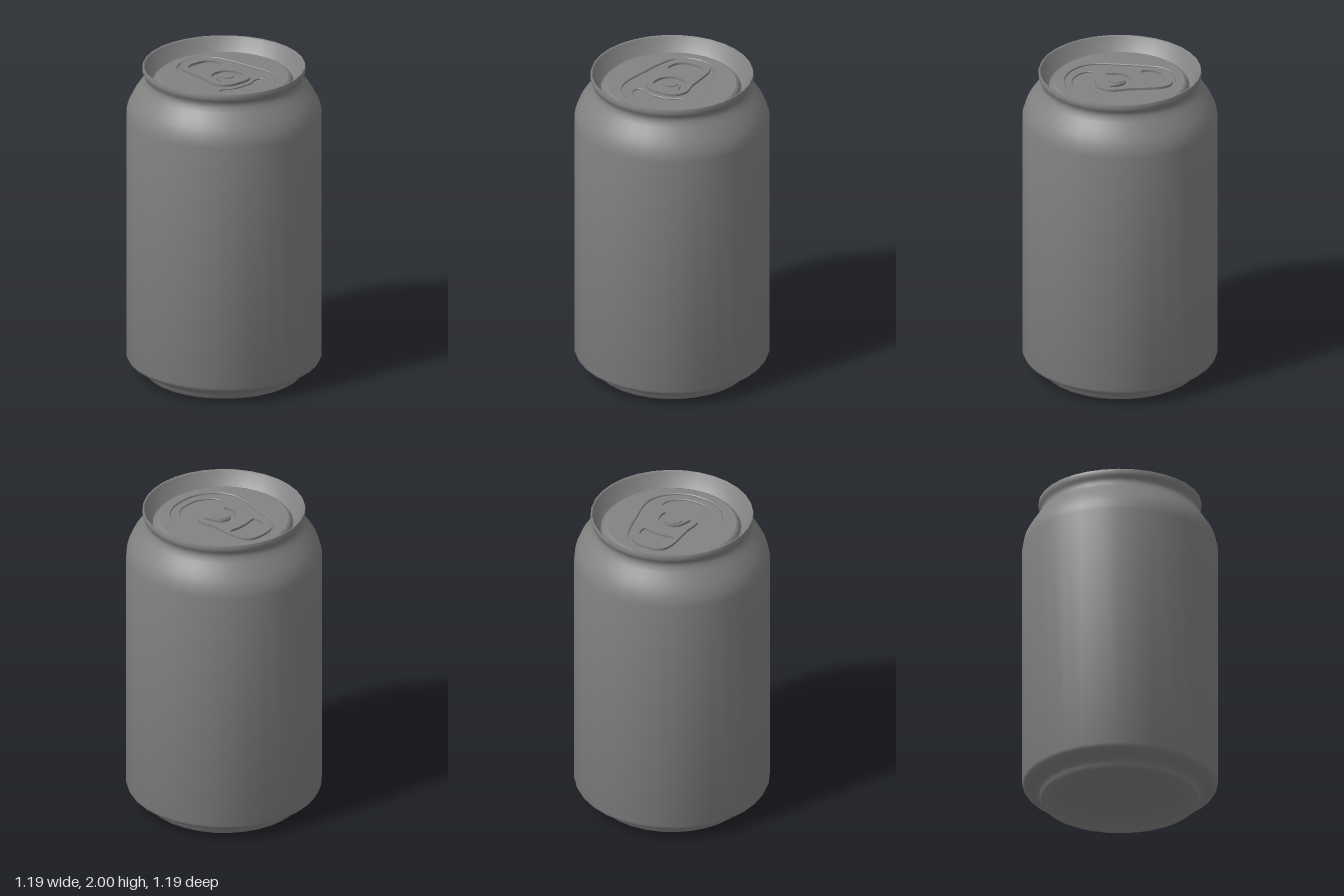
import * as THREE from 'three';
import { toCreasedNormals } from 'three/addons/utils/BufferGeometryUtils.js';

const SIDES = 32;
const material = new THREE.MeshStandardMaterial({ color: 0x828282 });

// Closed smooth outline, symmetric in x. Points run from one end of the
// centre line to the other along the +x side; both ends lie on x = 0.
function symmetricOutline(half, divisions = 64) {
  const mirrored = half.slice(1, -1).reverse().map(([x, z]) => [-x, z]);
  const pts = [...half, ...mirrored].map(([x, z]) => new THREE.Vector3(x, z, 0));
  const curve = new THREE.CatmullRomCurve3(pts, true, 'centripetal');
  return curve.getPoints(divisions).slice(0, -1).map((p) => new THREE.Vector2(p.x, p.y));
}

// Flat plate with its top at height y; outline coordinates are (x, z).
function plate(name, outline, holes, y, depth, bevel = 0) {
  const shape = new THREE.Shape(outline);
  shape.holes = holes.map((h) => new THREE.Path(h));
  const geometry = new THREE.ExtrudeGeometry(shape, {
    depth: depth - 2 * bevel,
    bevelEnabled: bevel > 0,
    bevelThickness: bevel,
    bevelSize: bevel,
    bevelOffset: -bevel,
    bevelSegments: 1,
  });
  geometry.rotateX(Math.PI / 2);
  const mesh = new THREE.Mesh(toCreasedNormals(geometry, 0.5), material);
  mesh.name = name;
  mesh.position.y = y - bevel;
  return mesh;
}

export function createModel() {
  const can = new THREE.Group();
  can.name = 'drinkCan';

  // Body in one turn: domed base, foot, wall, shoulder, neck, rolled rim,
  // sloping inner wall and the groove around the lid
  const profile = [];
  for (let i = 0; i <= 8; i++) {
    const t = i / 8;
    profile.push([0.46 * t, 0.015 + 0.145 * (1 - t * t)]);
  }
  profile.push(
    [0.467, 0.003], [0.474, 0], [0.481, 0.004], [0.487, 0.025], [0.502, 0.045],
    [0.53, 0.062], [0.565, 0.078], [0.588, 0.095], [0.597, 0.115],
    [0.597, 1.69], [0.592, 1.72], [0.58, 1.76], [0.56, 1.8], [0.53, 1.846],
    [0.502, 1.885], [0.485, 1.912], [0.481, 1.93], [0.485, 1.946],
    [0.494, 1.959], [0.498, 1.973], [0.498, 1.99], [0.495, 2], [0.489, 2],
    [0.484, 1.992], [0.439, 1.902], [0.433, 1.897], [0.425, 1.897],
    [0.418, 1.904], [0.412, 1.918], [0.405, 1.927], [0.394, 1.93],
  );
  const lathe = new THREE.LatheGeometry(profile.map(([r, y]) => new THREE.Vector2(r, y)), SIDES);
  const body = new THREE.Mesh(toCreasedNormals(lathe, 1.1), material);
  body.name = 'body';
  can.add(body);

  // Lid panel with a drop-shaped recess
  const recess = symmetricOutline([
    [0, -0.342], [0.08, -0.328], [0.15, -0.27], [0.19, -0.17], [0.225, -0.03],
    [0.25, 0.08], [0.252, 0.16], [0.215, 0.24], [0.14, 0.305], [0.06, 0.334], [0, 0.337],
  ]);
  const disc = [];
  for (let i = 0; i < SIDES; i++) {
    const a = (i / SIDES) * Math.PI * 2;
    disc.push(new THREE.Vector2(0.4 * Math.sin(a), 0.4 * Math.cos(a)));
  }
  can.add(plate('lidPanel', disc, [recess], 1.931, 0.02, 0.004));

  // Recess floor with the sunken mouth
  const mouth = symmetricOutline([
    [0, 0.18], [0.07, 0.175], [0.115, 0.152], [0.155, 0.15], [0.167, 0.175],
    [0.152, 0.22], [0.11, 0.262], [0.06, 0.285], [0, 0.291],
  ]);
  can.add(plate('recessFloor', recess, [mouth], 1.922, 0.016, 0.003));
  can.add(plate('mouthPanel', mouth, [], 1.912, 0.005));

  // Flat pull tab with finger hole and an arched slot around the rivet
  const tab = symmetricOutline([
    [0, -0.322], [0.06, -0.318], [0.11, -0.29], [0.133, -0.23], [0.133, -0.12],
    [0.128, -0.03], [0.136, 0.03], [0.134, 0.08], [0.1, 0.13], [0.05, 0.15], [0, 0.152],
  ]);
  const fingerHole = symmetricOutline([
    [0, -0.265], [0.05, -0.261], [0.09, -0.235], [0.112, -0.185], [0.108, -0.148],
    [0.085, -0.145], [0.04, -0.154], [0, -0.156],
  ], 48);
  const slot = symmetricOutline([
    [0, -0.067], [0.05, -0.053], [0.086, -0.015], [0.1, 0.035], [0.096, 0.07],
    [0.084, 0.074], [0.074, 0.045], [0.062, 0.005], [0.035, -0.025], [0, -0.037],
  ], 56);
  can.add(plate('pullTab', tab, [fingerHole, slot], 1.937, 0.018));

  // Rivet
  const rivet = new THREE.Mesh(
    toCreasedNormals(new THREE.CylinderGeometry(0.05, 0.05, 0.022, 24), 0.6), material);
  rivet.name = 'rivet';
  rivet.position.set(0, 1.932, 0.022);
  can.add(rivet);

  return can;
}
